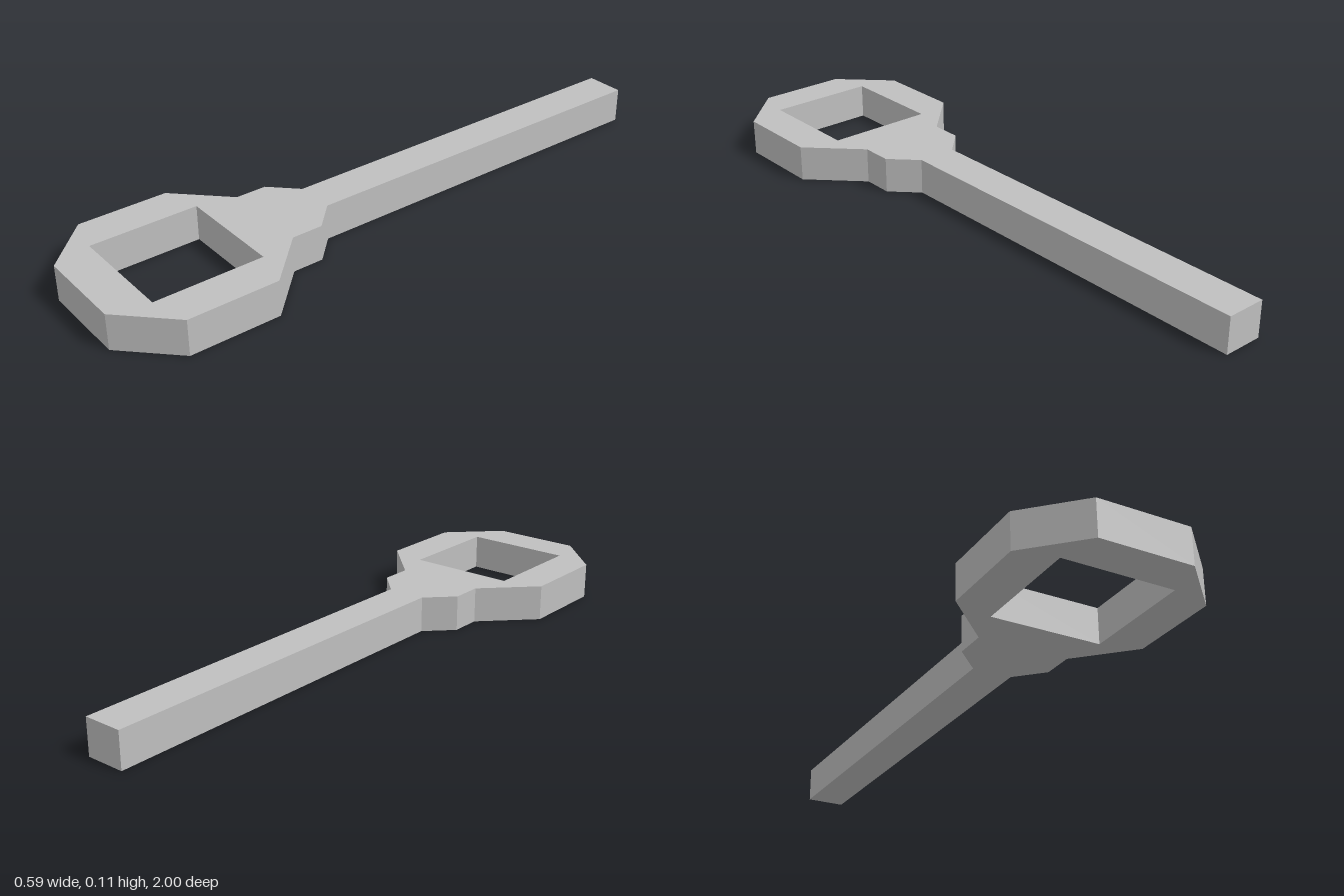
import * as THREE from 'three';

const HEIGHT = 0.113;

// Right half of the plan outline as [x, z], from the shaft tip to the head front
const HALF_OUTLINE = [
  [0.062, -1], [0.062, 0.237], // shaft
  [0.142, 0.317], [0.142, 0.415], // collar
  [0.294, 0.567], [0.294, 0.85], [0.142, 1], // octagonal head
];

export function createModel() {
  const group = new THREE.Group();
  group.name = 'wrench';

  const steel = new THREE.MeshStandardMaterial({ color: 0xbfbfbf });
  steel.name = 'grey steel';

  // Mirror the half outline into a closed shape
  const mirrored = HALF_OUTLINE.map(([x, z]) => [-x, z]).reverse();
  const shape = new THREE.Shape(
    [...HALF_OUTLINE, ...mirrored].map(([x, z]) => new THREE.Vector2(x, z))
  );

  // Square socket through the head
  const s = 0.172, centre = 0.707;
  shape.holes.push(new THREE.Path(
    [[-s, -s], [-s, s], [s, s], [s, -s]].map(([x, z]) => new THREE.Vector2(x, centre + z))
  ));

  // Extrude, then lay flat so the plan's second axis becomes z
  const geometry = new THREE.ExtrudeGeometry(shape, { depth: HEIGHT, bevelEnabled: false });
  geometry.rotateX(Math.PI / 2);
  geometry.translate(0, HEIGHT, 0);

  const body = new THREE.Mesh(geometry, steel);
  body.name = 'shaftAndSocketHead';
  group.add(body);
  return group;
}
